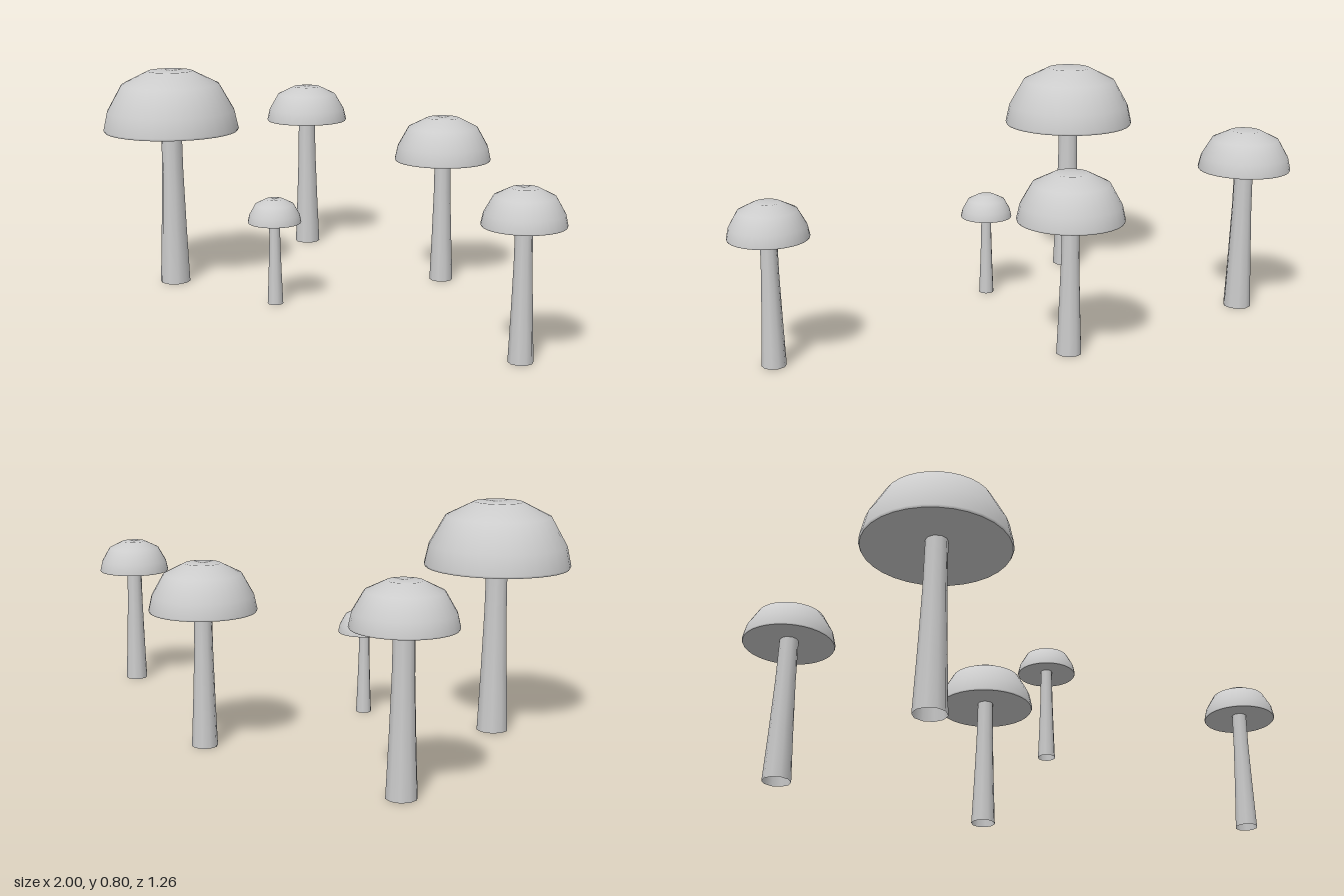
import * as THREE from 'three';

// x, z, cap radius, rim height, top height, stem base radius
const MUSHROOMS = [
  [-0.60, 0.38, 0.25, 0.58, 0.803, 0.056],
  [-0.835, -0.39, 0.165, 0.52, 0.662, 0.05],
  [-0.025, -0.455, 0.18, 0.463, 0.624, 0.044],
  [0.863, -0.035, 0.134, 0.437, 0.556, 0.041],
  [-0.125, 0.235, 0.095, 0.298, 0.383, 0.028],
];

// Profiles as [radius, height] fractions, listed upwards
const DOME = [[0.985, 0], [1, 0.035], [0.94, 0.34], [0.72, 0.78], [0.33, 1], [0, 0.985]];
const UNDERSIDE = [[0, 0.14], [0.5, 0.09], [0.985, 0]];
const STEM = [[1, 0], [0.85, 0.33], [0.71, 0.7], [0.67, 1]];

function turned(name, profile, radius, height, sides, material) {
  const points = profile.map(([r, y]) => new THREE.Vector2(r * radius, y * height));
  const mesh = new THREE.Mesh(new THREE.LatheGeometry(points, sides), material);
  mesh.name = name;
  return mesh;
}

export function createModel() {
  const model = new THREE.Group();
  model.name = 'mushroomCluster';
  const grey = new THREE.MeshStandardMaterial({ color: 0xcccccc, side: THREE.DoubleSide });
  grey.name = 'plain grey';

  for (const [x, z, radius, rim, top, base] of MUSHROOMS) {
    const mushroom = new THREE.Group();
    mushroom.name = 'mushroom';
    mushroom.position.set(x, 0, z);

    // Domed cap with a shallow hollow below
    const dome = turned('capDome', DOME, radius, top - rim, 32, grey);
    const underside = turned('capUnderside', UNDERSIDE, radius, top - rim, 32, grey);
    dome.position.y = underside.position.y = rim;

    // Flared stem, open at the foot and running into the hollow
    const stem = turned('stem', STEM, base, rim + 0.14 * (top - rim), 10, grey);

    mushroom.add(dome, underside, stem);
    model.add(mushroom);
  }
  return model;
}
